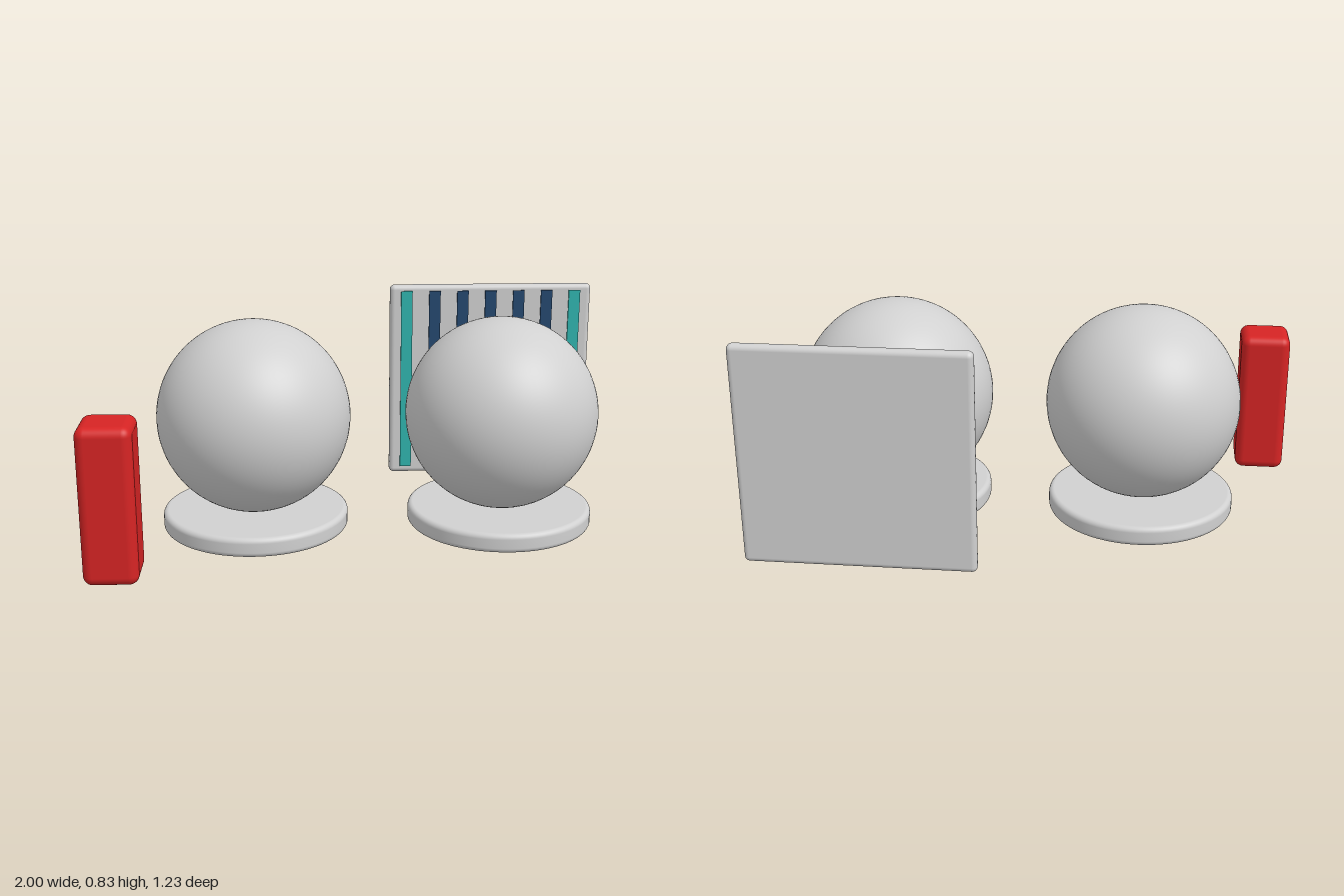
import * as THREE from 'three';
import { RoundedBoxGeometry } from 'three/addons/geometries/RoundedBoxGeometry.js';

export function createModel() {
  const model = new THREE.Group();
  model.name = 'displaySet';

  const material = (name, color) => {
    const m = new THREE.MeshStandardMaterial({ color });
    m.name = name;
    return m;
  };
  const grey = material('light grey', 0xd0d0d0);
  const red = material('red', 0xd62424);
  const teal = material('teal', 0x30b4ae);
  const navy = material('navy', 0x24486f);

  const add = (name, geometry, mat, x, y, z) => {
    const mesh = new THREE.Mesh(geometry, mat);
    mesh.name = name;
    mesh.position.set(x, y, z);
    model.add(mesh);
    return mesh;
  };

  // Round plinth profile with softened rims
  const R = 0.359, H = 0.075, r = 0.02;
  const profile = [new THREE.Vector2(0, 0)];
  for (let i = 0; i <= 6; i++) {
    const a = -Math.PI / 2 + (i / 6) * (Math.PI / 2);
    profile.push(new THREE.Vector2(R - r + r * Math.cos(a), r + r * Math.sin(a)));
  }
  for (let i = 0; i <= 6; i++) {
    const a = (i / 6) * (Math.PI / 2);
    profile.push(new THREE.Vector2(R - r + r * Math.cos(a), H - r + r * Math.sin(a)));
  }
  profile.push(new THREE.Vector2(0, H));
  const plinth = new THREE.LatheGeometry(profile, 72);
  const ball = new THREE.SphereGeometry(0.371, 72, 48);

  // Two balls, each on its plinth
  for (const [side, x] of [['right', -0.415], ['left', 0.54]]) {
    add(side + 'Plinth', plinth, grey, x, 0, 0.015);
    add(side + 'Ball', ball, grey, x, 0.443, 0.015);
  }

  // Red pillar at the front right
  add('pillar', new RoundedBoxGeometry(0.196, 0.578, 0.206, 5, 0.035), red, -0.902, 0.289, 0.511);

  // Upright panel behind the left ball
  add('panel', new RoundedBoxGeometry(0.852, 0.83, 0.047, 5, 0.02), grey, 0.571, 0.415, -0.588);

  // Seven stripes on the panel front, teal at both ends
  const stripe = new THREE.BoxGeometry(0.048, 0.776, 0.009);
  for (let i = 0; i < 7; i++) {
    const end = i === 0 || i === 6;
    add('stripe' + (i + 1), stripe, end ? teal : navy, 0.571 + (i - 3) * 0.1185, 0.418, -0.5615);
  }
  return model;
}
